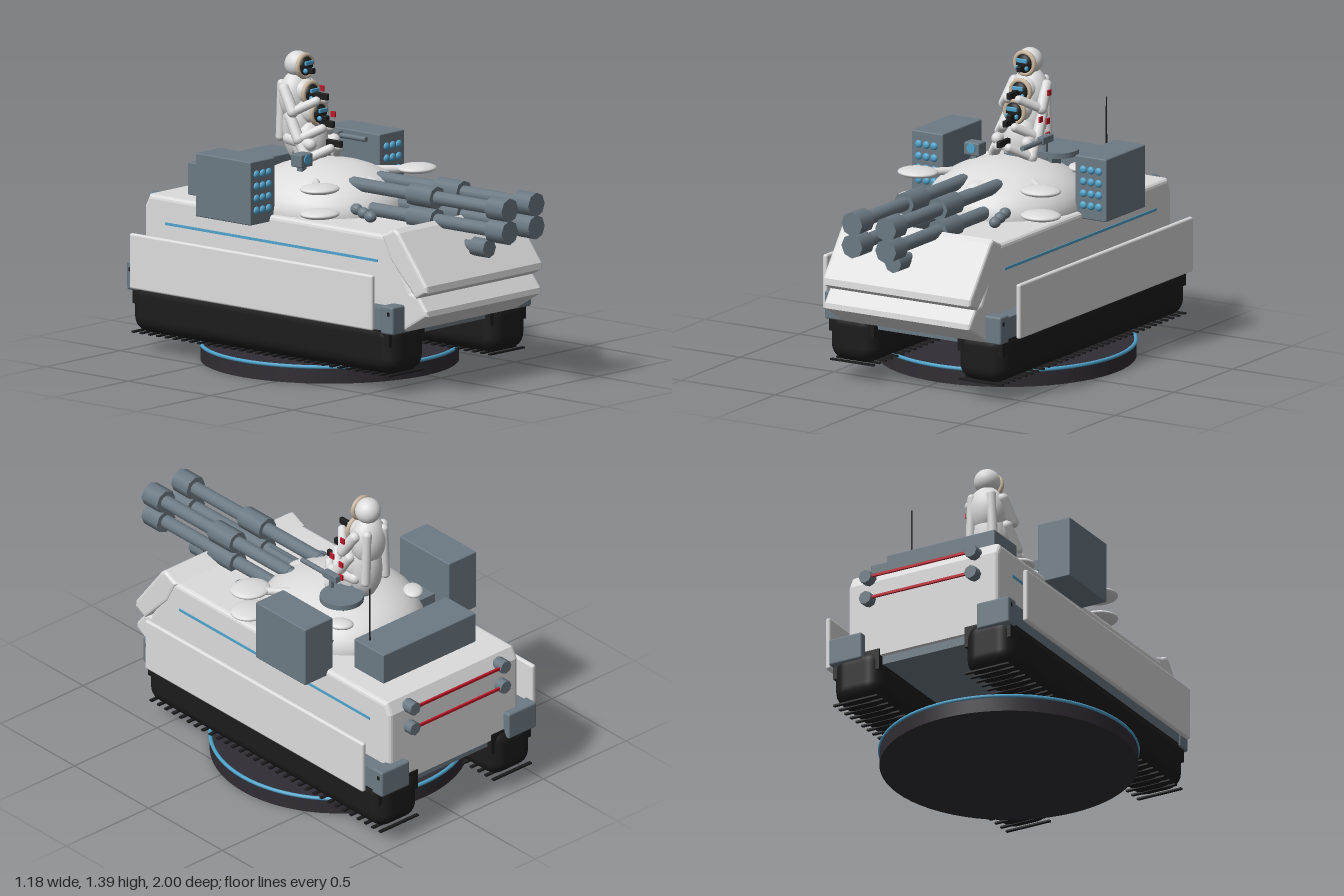
import * as THREE from 'three';
import { RoundedBoxGeometry } from 'three/addons/geometries/RoundedBoxGeometry.js';

const mat = (name, color) => Object.assign(new THREE.MeshStandardMaterial({ color }), { name });

export function createModel() {
  const light = mat('light armour', 0xdcdcdd), grey = mat('steel grey', 0x6c7a84), black = mat('track black', 0x1c1c1d);
  const dark = mat('base dark', 0x302d34), blue = mat('glow blue', 0x4fa3cc), red = mat('signal red', 0xc01828);
  const tan = mat('collar tan', 0xcbb9a0);
  const root = new THREE.Group();
  root.name = 'armouredVehicle';

  const group = (name) => { const g = new THREE.Group(); g.name = name; root.add(g); return g; };
  const add = (name, geo, m, x, y, z, parent = root) => {
    const mesh = new THREE.Mesh(geo, m);
    mesh.name = name;
    mesh.position.set(x, y, z);
    parent.add(mesh);
    return mesh;
  };
  const box = (w, h, d) => new THREE.BoxGeometry(w, h, d);
  const soft = (w, h, d, r = 0.01) => new RoundedBoxGeometry(w, h, d, 3, r);
  const rod = (r0, r1, l, n = 16) => new THREE.CylinderGeometry(r0, r1, l, n).rotateX(Math.PI / 2); // r0 faces +z
  const blob = (rx, ry, rz) => new THREE.SphereGeometry(1, 32, 20).scale(rx, ry, rz);
  // side profile (z, y) swept across the full width, with bevelled edges
  const slab = (points, width, b = 0.015) => {
    const g = new THREE.ExtrudeGeometry(new THREE.Shape(points.map(([z, y]) => new THREE.Vector2(z, y))),
      { depth: width - 2 * b, bevelSize: b, bevelOffset: -b, bevelThickness: b, bevelSegments: 3 });
    return g.rotateY(-Math.PI / 2).translate(width / 2 - b, 0, 0);
  };
  // rounded limb between two points
  const limb = (name, a, b, r, m, parent) => {
    const p = new THREE.Vector3(...a), d = new THREE.Vector3(...b).sub(p);
    const mesh = add(name, new THREE.CapsuleGeometry(r, d.length(), 6, 14), m, 0, 0, 0, parent);
    mesh.position.copy(p).addScaledVector(d, 0.5);
    mesh.quaternion.setFromUnitVectors(new THREE.Vector3(0, 1, 0), d.normalize());
  };

  // display base
  add('baseDisc', new THREE.CylinderGeometry(0.585, 0.585, 0.076, 64), dark, 0, 0.038, -0.175);
  add('baseRing', new THREE.TorusGeometry(0.583, 0.009, 8, 80).rotateX(Math.PI / 2), blue, 0, 0.075, -0.175);

  // hull
  add('hull', slab([[0.58, 0.3], [0.68, 0.45], [0.53, 0.715], [-0.925, 0.715], [-0.952, 0.66], [-0.952, 0.29]], 0.78, 0.02), light, 0, 0, 0);
  add('upperFrontPlate', slab([[0.49, 0.715], [0.57, 0.752], [0.595, 0.735], [0.765, 0.51], [0.768, 0.48], [0.7, 0.445], [0.55, 0.6]], 0.79), light, 0, 0, 0);
  add('lowerFrontPlate', slab([[0.62, 0.48], [0.71, 0.46], [0.762, 0.395], [0.765, 0.37], [0.62, 0.282], [0.5, 0.285]], 0.78), light, 0, 0, 0);
  add('belly', box(0.62, 0.08, 1.5), grey, 0, 0.29, -0.18);

  for (const s of [1, -1]) {
    const side = group(s > 0 ? 'leftSide' : 'rightSide');
    const put = (name, geo, m, x, y, z) => add(name, geo, m, s * x, y, z, side);
    // tracks with cross bars
    put('track', soft(0.25, 0.25, 1.6, 0.075), black, 0.343, 0.21, -0.178);
    put('trackTop', box(0.24, 0.1, 1.56), black, 0.343, 0.27, -0.178);
    for (let i = 0; i < 32; i++) put('trackBar', box(0.23, 0.008, 0.016), black, 0.343, 0.086, 0.59 - i * 0.05);
    // fender strip with boxed ends
    put('fender', box(0.19, 0.1, 1.54), grey, 0.37, 0.345, -0.18);
    put('frontMudguard', soft(0.1, 0.13, 0.075), grey, 0.42, 0.345, 0.592);
    put('rearMudguard', soft(0.17, 0.13, 0.07), grey, 0.385, 0.345, -0.953);
    for (const z of [0.605, -0.965])
      for (const y of [0.375]) put('guardBolt', box(0.004, 0.018, 0.012), black, 0.471, y, z);
    // skirt and side stripe
    put('skirt', soft(0.024, 0.255, 1.475, 0.01), light, 0.515, 0.428, -0.183);
    for (const z of [0.35, -0.7]) put('skirtBracket', box(0.13, 0.02, 0.02), grey, 0.45, 0.4, z);
    put('sideStripe', box(0.008, 0.012, 1.29), blue, 0.39, 0.593, -0.175);
    // rear lamps
    for (const y of [0.57, 0.675]) {
      put('rearLamp', rod(0.032, 0.032, 0.06, 8), grey, 0.275, y, -0.968);
    }

    // missile pod with 3 x 4 tubes
    put('missilePod', soft(0.168, 0.292, 0.335, 0.006), grey, 0.436, 0.831, -0.357);
    put('podMount', box(0.14, 0.06, 0.16), grey, 0.33, 0.75, -0.35);
    for (let c = 0; c < 3; c++) for (let r = 0; r < 4; r++)
      put('missileTip', blob(0.018, 0.018, 0.012), blue, 0.398 + c * 0.041, 0.75 + r * 0.0555, -0.189);

    // flattened shoulder pads and roof caps on the turret
    put('upperPad', blob(0.095, 0.022, 0.085), light, 0.328, 0.86, 0.06);
    put('lowerPad', blob(0.095, 0.022, 0.085), light, 0.328, 0.745, 0.06);
    put('padArm', rod(0.018, 0.018, 0.22), light, 0.25, 0.855, -0.03).rotation.y = s * 0.8;
    put('roofCap', blob(0.045, 0.02, 0.06), light, 0.22, 0.85, -0.43).rotation.y = s * 0.6;
    // smoke launchers
    for (let i = 0; i < 3; i++) put('smokeLauncher', blob(0.026, 0.026, 0.03), grey, 0.208, 0.765 - i * 0.012, 0.175 + i * 0.042);

    // twin guns
    for (const y of [0.85, 0.747]) {
      put('gunBarrel', rod(0.032, 0.032, 0.92, 12), grey, 0.09, y, 0.51);
      put('gunBreech', rod(0.032, 0.003, 0.1, 12), grey, 0.09, y, 0.01);
      put('gunSleeve', rod(0.053, 0.053, 0.15, 8), grey, 0.09, y, 0.485);
      put('gunMuzzle', rod(0.056, 0.056, 0.105, 8), grey, 0.09, y, 0.9475);
    }
  }
  for (const y of [0.57, 0.675]) add('rearLightBar', box(0.52, 0.012, 0.01), red, 0, y, -0.985);

  // turret
  add('turretDome', blob(0.365, 0.205, 0.39), light, 0, 0.715, -0.19);
  add('mantlet', blob(0.075, 0.06, 0.1), light, 0, 0.81, 0.05);
  add('coaxialGun', rod(0.02, 0.02, 0.2, 10), grey, 0, 0.825, 0.2);
  add('bowGun', rod(0.025, 0.025, 0.2, 10), grey, 0, 0.635, 0.64);
  add('bowGunMuzzle', rod(0.044, 0.044, 0.09, 8), grey, 0, 0.635, 0.75);
  add('rearBin', soft(0.56, 0.15, 0.2, 0.005), grey, 0, 0.79, -0.687);
  add('antenna', new THREE.CylinderGeometry(0.003, 0.004, 0.28, 6), black, 0.235, 0.995, -0.645);

  // roof sight, hatch and roof gun
  add('sightBox', soft(0.08, 0.06, 0.065, 0.006), grey, -0.177, 0.94, -0.185);
  add('sightPost', box(0.03, 0.08, 0.03), grey, -0.177, 0.88, -0.185);
  add('sightLens', rod(0.022, 0.022, 0.008), blue, -0.177, 0.945, -0.151);
  add('hatchLid', new THREE.CylinderGeometry(0.1, 0.1, 0.025, 28), grey, 0.15, 0.932, -0.36);
  add('hatchHinge', box(0.08, 0.1, 0.08), grey, 0.12, 0.88, -0.34);
  add('cupola', new THREE.CylinderGeometry(0.075, 0.085, 0.09, 24), grey, 0, 0.925, -0.3);
  add('roofGun', rod(0.012, 0.012, 0.24, 8), grey, 0.14, 1.0, -0.2);
  add('roofGunBody', soft(0.032, 0.034, 0.09, 0.004), grey, 0.14, 1.003, -0.28);
  add('roofGunPost', box(0.016, 0.1, 0.016), grey, 0.14, 0.96, -0.28);

  // three suited crew members, stacked and stepping forward
  [[1.332, -0.37], [1.21, -0.335], [1.125, -0.285]].forEach(([y, z], i) => {
    const crew = group('crewMember' + (i + 1));
    add('helmet', blob(0.06, 0.06, 0.06), light, 0, y, z, crew);
    add('collarRing', new THREE.TorusGeometry(0.05, 0.011, 10, 28), tan, 0, y - 0.004, z + 0.045, crew);
    add('face', blob(0.043, 0.045, 0.025), black, 0, y - 0.004, z + 0.047, crew);
    add('visor', soft(0.055, 0.02, 0.012, 0.004), blue, 0, y + 0.012, z + 0.07, crew);
    add('breather', soft(0.024, 0.026, 0.04, 0.005), black, 0, y - 0.022, z + 0.08, crew);
    for (const s of [1, -1]) {
      add('cheekFilter', blob(0.009, 0.012, 0.012), blue, s * 0.025, y - 0.022, z + 0.07, crew);
      const sh = [s * 0.085, y - 0.105, z - 0.005], el = [s * 0.1, y - 0.2, z + 0.06];
      limb('upperArm', sh, el, 0.026, light, crew);
      limb('forearm', el, [s * 0.03, y - 0.15, z + 0.14], 0.021, light, crew);
    }
    add('torso', blob(0.09, 0.12, 0.075), light, 0, y - 0.15, z - 0.005, crew);
    add('heldTool', soft(0.02, 0.03, 0.09, 0.004), black, 0, y - 0.13, z + 0.14, crew);
  });
  add('lowerSuit', blob(0.085, 0.17, 0.085), light, 0, 1.05, -0.35);
  for (const s of [1, -1]) {
    limb('thigh', [s * 0.07, 1.0, -0.36], [s * 0.08, 0.99, -0.22], 0.028, light, root);
    limb('backStrap', [s * 0.05, 1.24, -0.42], [s * 0.06, 1.0, -0.42], 0.022, light, root);
  }
  for (const [y, z] of [[1.205, -0.335], [1.095, -0.265], [1.075, -0.325], [1.01, -0.325]])
    add('armPatch', box(0.008, 0.026, 0.026), red, 0.124, y, z);
  return root;
}
